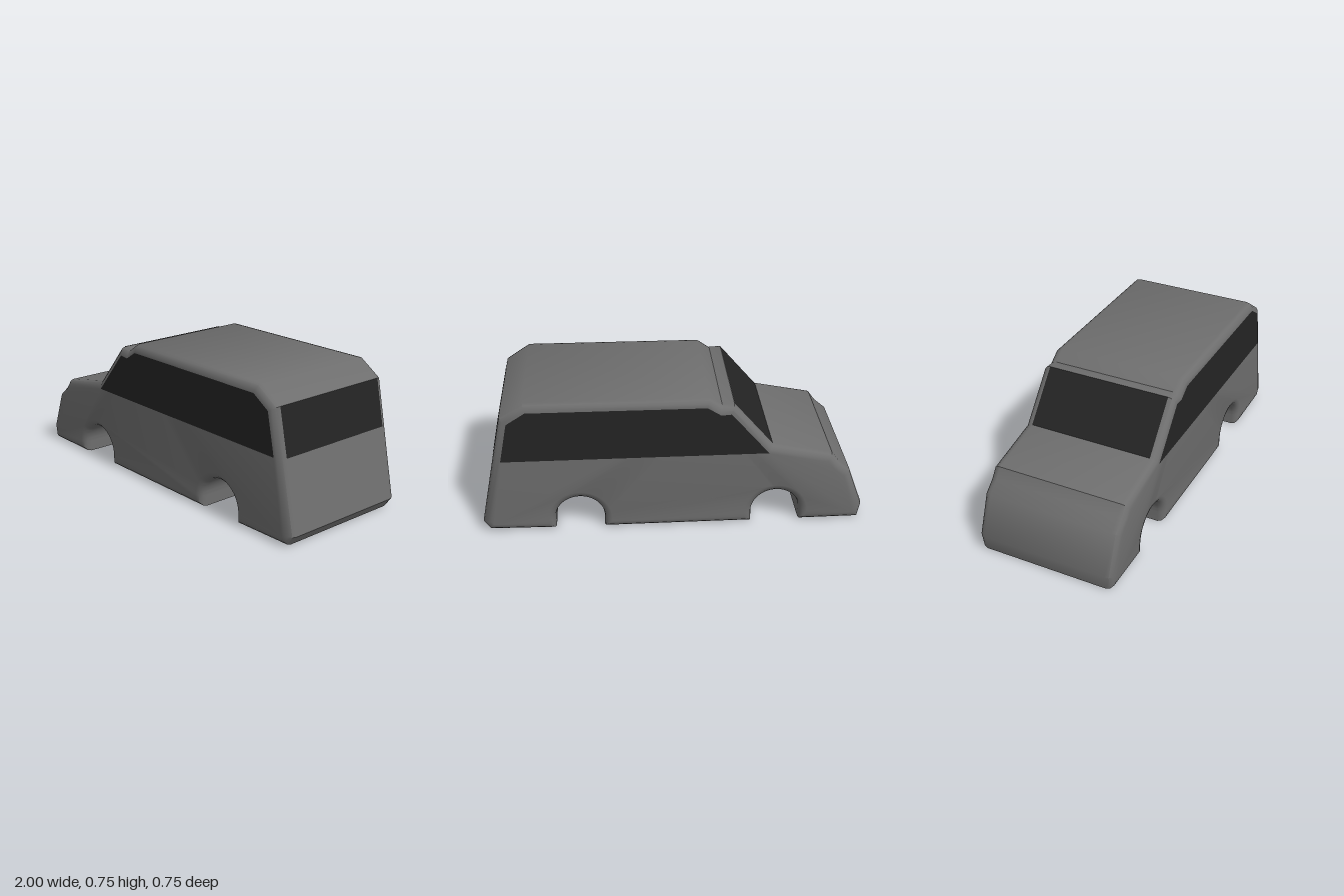
import * as THREE from 'three';
import { toCreasedNormals } from 'three/addons/utils/BufferGeometryUtils.js';

const HALF_WIDTH = 0.375;
const BEVEL = 0.04;
const LIFT = 0.0015; // glass sits just proud of the body

const paint = new THREE.MeshStandardMaterial({ color: 0x6e6e6e });
const glass = new THREE.MeshStandardMaterial({ color: 0x242424, side: THREE.DoubleSide });

function add(group, name, geometry, material) {
  const mesh = new THREE.Mesh(geometry, material);
  mesh.name = name;
  group.add(mesh);
  return mesh;
}

// Side profile, nose at -x, with two wheel arches cut into the sill
function bodyProfile() {
  const s = new THREE.Shape();
  s.moveTo(-0.985, 0.001);
  for (const cx of [-0.5375, 0.4925]) {
    const r = 0.1275;
    s.lineTo(cx - r, 0);
    s.lineTo(cx - r, 0.06);
    s.absarc(cx, 0.06, r, Math.PI, 0, true);
    s.lineTo(cx + r, 0);
  }
  for (const [x, y] of [
    [0.965, 0.006], [1, 0.056], [0.875, 0.664], [0.753, 0.745],
    [-0.178, 0.741], [-0.243, 0.696], [-0.305, 0.7], [-0.508, 0.461],
    [-0.822, 0.398], [-0.86, 0.346], [-0.922, 0.293], [-1, 0.083],
  ]) s.lineTo(x, y);
  s.closePath();
  return s;
}

// Flat glass across the car, running from a to b in side view
function crossPane(a, b) {
  const dx = b[0] - a[0], dy = b[1] - a[1], len = Math.hypot(dx, dy);
  return new THREE.PlaneGeometry(len, 0.67)
    .rotateX(-Math.PI / 2)
    .rotateZ(Math.atan2(dy, dx))
    .translate((a[0] + b[0]) / 2 - (dy / len) * LIFT, (a[1] + b[1]) / 2 + (dx / len) * LIFT, 0);
}

export function createModel() {
  const car = new THREE.Group();
  car.name = 'carBody';

  // Body shell with rounded side edges
  const depth = 2 * (HALF_WIDTH - BEVEL);
  const shell = new THREE.ExtrudeGeometry(bodyProfile(), {
    depth, curveSegments: 20,
    bevelEnabled: true, bevelThickness: BEVEL, bevelSize: BEVEL,
    bevelOffset: -BEVEL, bevelSegments: 3,
  }).translate(0, 0, -depth / 2);
  add(car, 'bodyShell', toCreasedNormals(shell, 0.65), paint);

  // Side windows
  const outline = [
    [-0.488, 0.427], [0.882, 0.427], [0.838, 0.642], [0.742, 0.704],
    [-0.166, 0.701], [-0.235, 0.657], [-0.288, 0.661],
  ].map(([x, y]) => new THREE.Vector2(x, y));
  for (const side of [1, -1]) {
    const pane = new THREE.ShapeGeometry(new THREE.Shape(outline));
    // The far pane is turned over so that it faces outward
    if (side < 0) pane.rotateY(Math.PI).scale(-1, 1, 1);
    const name = side > 0 ? 'sideWindowFrontFace' : 'sideWindowBackFace';
    add(car, name, pane, glass).position.z = side * (HALF_WIDTH + LIFT);
  }

  // Windscreen and rear window
  add(car, 'windscreen', crossPane([-0.508, 0.461], [-0.305, 0.7]), glass);
  add(car, 'rearWindow', crossPane([0.875, 0.664], [0.9243, 0.424]), glass);

  return car;
}
